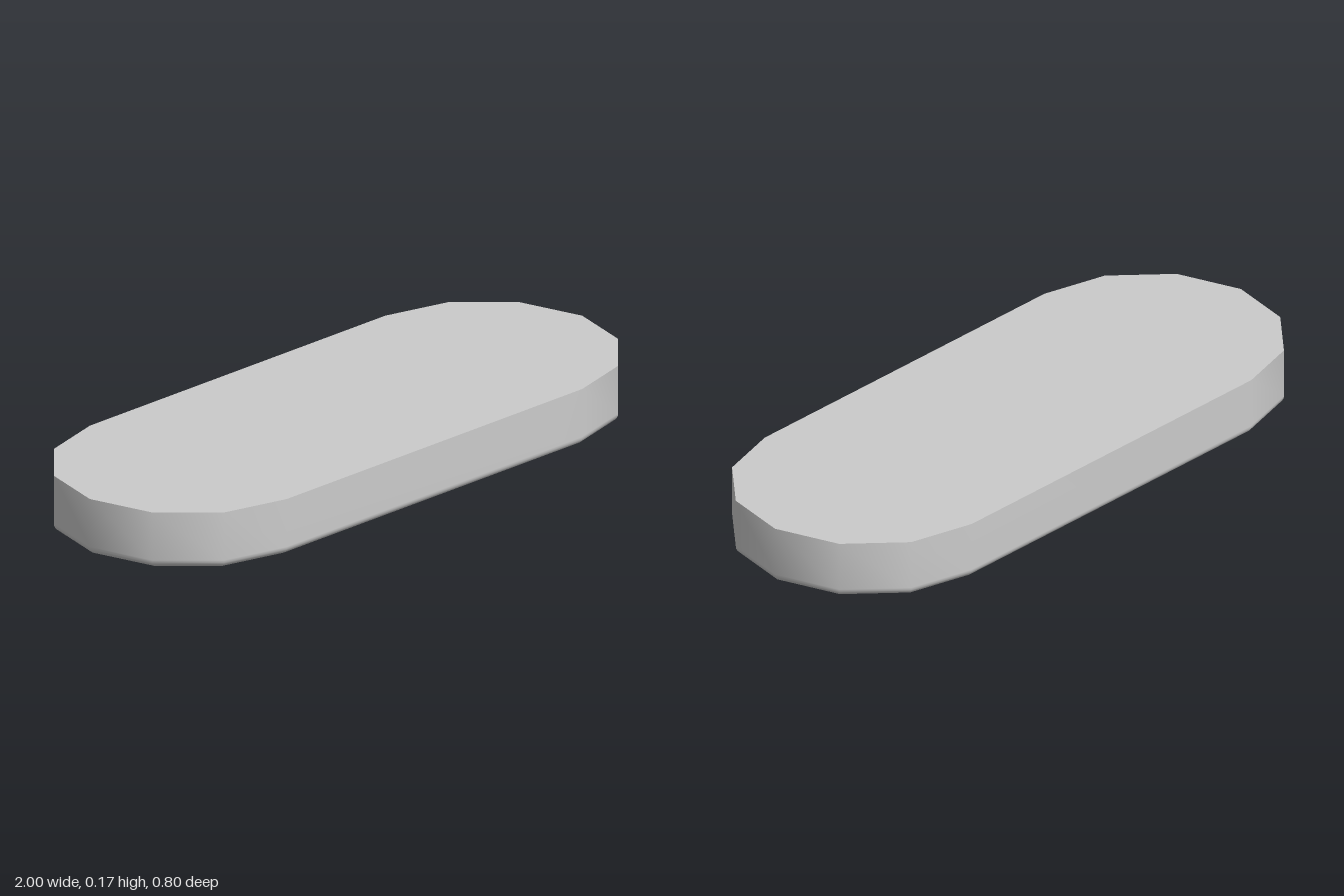
import * as THREE from 'three';

const HEIGHT = 0.173, RADIUS = 0.4, HALF_STRAIGHT = 0.6, BEVEL = 0.025;
const HOLE_RADIUS = 0.121, HOLE_DEPTH = 0.127, HOLE_SPACING = 0.37, HOLE_SIDES = 16;

// Stadium outline in the ground plane, each end made of six straight segments
function outline(inset) {
  const points = [], r = RADIUS - inset;
  for (const side of [1, -1]) {
    for (let i = 0; i <= 6; i++) {
      const a = -Math.PI / 2 + (i * Math.PI) / 6;
      points.push(new THREE.Vector2(side * (HALF_STRAIGHT + r * Math.cos(a)), side * r * Math.sin(a)));
    }
  }
  return points;
}

// Side wall: rows of the outline, rolling under at the bottom edge
function wallGeometry() {
  const rows = [[0, HEIGHT]];
  for (let i = 0; i <= 5; i++) {
    const a = (i / 5) * Math.PI / 2;
    rows.push([BEVEL * (1 - Math.cos(a)), BEVEL * (1 - Math.sin(a))]);
  }
  const positions = [], index = [], n = outline(0).length;
  rows.forEach(([inset, y], row) => {
    outline(inset).forEach((p, i) => {
      positions.push(p.x, y, p.y);
      if (row === rows.length - 1) return;
      const a = row * n + i, b = row * n + (i + 1) % n;
      index.push(a, b, a + n, b, b + n, a + n);
    });
  });
  const geometry = new THREE.BufferGeometry();
  geometry.setAttribute('position', new THREE.Float32BufferAttribute(positions, 3));
  geometry.setIndex(index);
  geometry.computeVertexNormals();
  return geometry;
}

export function createModel() {
  const group = new THREE.Group();
  group.name = 'roundedBar';
  const material = new THREE.MeshStandardMaterial({ color: 0xcccccc });
  const inner = new THREE.MeshStandardMaterial({ color: 0xcccccc, side: THREE.BackSide });

  function add(name, geometry, mat = material) {
    const mesh = new THREE.Mesh(geometry, mat);
    mesh.name = name;
    group.add(mesh);
  }

  add('sideWall', wallGeometry());

  // Flat top
  add('topFace', new THREE.ShapeGeometry(new THREE.Shape(outline(0))).rotateX(-Math.PI / 2).translate(0, HEIGHT, 0));

  // Underside with three blind round holes
  const underside = new THREE.Shape(outline(BEVEL));
  for (const step of [-1, 0, 1]) {
    const x = step * HOLE_SPACING, rim = [];
    for (let i = 0; i < HOLE_SIDES; i++) {
      const a = (i / HOLE_SIDES) * Math.PI * 2;
      rim.push(new THREE.Vector2(x + HOLE_RADIUS * Math.cos(a), HOLE_RADIUS * Math.sin(a)));
    }
    underside.holes.push(new THREE.Path(rim));
    add('holeWall', new THREE.CylinderGeometry(HOLE_RADIUS, HOLE_RADIUS, HOLE_DEPTH, HOLE_SIDES, 1, true)
      .translate(x, HOLE_DEPTH / 2, 0), inner);
    add('holeEnd', new THREE.CircleGeometry(HOLE_RADIUS, HOLE_SIDES).rotateX(Math.PI / 2).translate(x, HOLE_DEPTH, 0));
  }
  add('underside', new THREE.ShapeGeometry(underside).rotateX(Math.PI / 2));

  return group;
}
